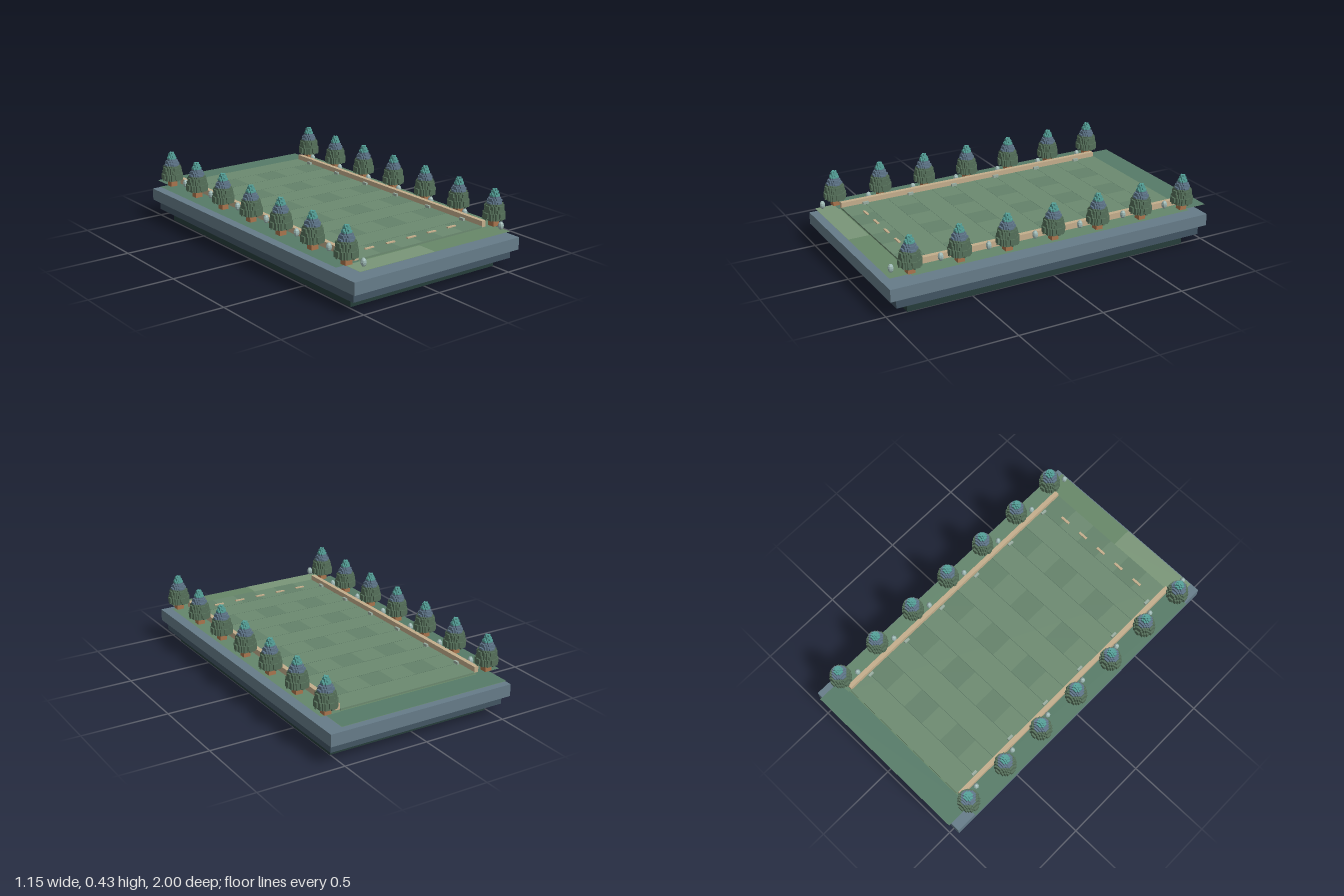
import * as THREE from 'three';
import { mergeGeometries } from 'three/addons/utils/BufferGeometryUtils.js';

const mat = (color, extra = {}) => new THREE.MeshStandardMaterial({ color, ...extra });

const CX = 0.005;        // the scene is mirrored about this x
const FIELD_Y = 0.236;   // top of the playing field
const STEP = 0.283;      // spacing between trees

// box given by its min and max corners
function boxGeo(x0, x1, y0, y1, z0, z1) {
  return new THREE.BoxGeometry(x1 - x0, y1 - y0, z1 - z0)
    .translate((x0 + x1) / 2, (y0 + y1) / 2, (z0 + z1) / 2);
}

// horizontal sheet facing up
function sheetGeo(x0, x1, z0, z1, y) {
  return new THREE.PlaneGeometry(x1 - x0, z1 - z0).rotateX(-Math.PI / 2)
    .translate((x0 + x1) / 2, y, (z0 + z1) / 2);
}

function add(parent, name, geometry, material) {
  const mesh = new THREE.Mesh(geometry, material);
  mesh.name = name;
  parent.add(mesh);
  return mesh;
}

// outer faces of a stack of block layers; radii are in blocks
function blockFoliage(radii, from, to, size, y0) {
  const filled = (i, j, k) => j >= 0 && j < radii.length && Math.hypot(i, k) <= radii[j];
  const faces = [
    [1, 0, 0, 'y', 1], [-1, 0, 0, 'y', -1], [0, 0, 1, 'y', 0],
    [0, 0, -1, 'y', 2], [0, 1, 0, 'x', -1], [0, -1, 0, 'x', 1],
  ];
  const parts = [];
  for (let j = from; j < to; j++) {
    const n = Math.ceil(radii[j]);
    for (let i = -n; i <= n; i++) for (let k = -n; k <= n; k++) {
      if (!filled(i, j, k)) continue;
      for (const [dx, dy, dz, axis, turns] of faces) {
        if (filled(i + dx, j + dy, k + dz)) continue;
        const face = new THREE.PlaneGeometry(size, size);
        if (axis === 'y') face.rotateY(turns * Math.PI / 2);
        else face.rotateX(turns * Math.PI / 2);
        parts.push(face.translate(
          (i + dx / 2) * size, y0 + (j + 0.5 + dy / 2) * size, (k + dz / 2) * size));
      }
    }
  }
  return mergeGeometries(parts);
}

export function createModel() {
  const model = new THREE.Group();
  model.name = 'parkField';

  // stepped plinth
  add(model, 'plinthTop', boxGeo(-0.56, 0.57, 0.115, 0.185, -0.98, 1.0), mat(0x667c89));
  add(model, 'plinthMiddle', boxGeo(-0.535, 0.548, 0.06, 0.115, -0.94, 0.96), mat(0x425563));
  add(model, 'plinthBottom', boxGeo(-0.49, 0.502, 0, 0.06, -0.86, 0.88), mat(0x263d3a));

  // thin lawn sheets hovering above the plinth
  const sheet = (name, x0, x1, z0, z1, y, color) =>
    add(model, name, sheetGeo(x0, x1, z0, z1, y), mat(color, { side: THREE.DoubleSide }));
  sheet('lawn', -0.51, 0.52, -1.0, 0.98, 0.223, 0x678768);
  sheet('lawnBackPatch', -0.51, 0.52, -1.0, -0.85, 0.2245, 0x567b68);
  sheet('lawnFrontPatch', -0.51, -0.02, 0.86, 0.98, 0.2245, 0x7a9678);
  sheet('rightVerge', -0.575, -0.425, -0.86, 0.87, 0.228, 0x567b67);
  sheet('leftVerge', 0.435, 0.555, -0.86, 0.87, 0.228, 0x64866c);

  // playing field with a faint checker of squares
  add(model, 'field', boxGeo(-0.42, 0.43, 0.226, FIELD_Y, -0.845, 0.855), mat(0x6c8a70));
  const squares = [];
  const w = 0.85 / 6, d = 1.7 / 12;
  for (let row = 0; row < 12; row++) {
    for (let col = 0; col < 6; col++) {
      if ((row + col) % 2 || row % 2 === 0) continue;
      const x = -0.42 + col * w, z = -0.845 + row * d;
      squares.push(sheetGeo(x, x + w, z, z + d, FIELD_Y + 0.0006));
    }
  }
  add(model, 'fieldSquares', mergeGeometries(squares), mat(0x64826a));

  // row seams
  const seams = [];
  for (let row = 1; row < 12; row++) {
    const z = -0.845 + row * d;
    seams.push(sheetGeo(-0.42, 0.43, z - 0.001, z + 0.001, FIELD_Y + 0.001));
  }
  add(model, 'rowSeams', mergeGeometries(seams), mat(0x4c6656));

  // dashed line near the front
  const tan = mat(0xc4ae8c);
  for (let i = -2; i <= 2; i++) {
    const x = CX + i * 0.142;
    add(model, 'lineDash', boxGeo(x - 0.029, x + 0.029, FIELD_Y, 0.242, 0.758, 0.772), tan);
  }

  // shared tree and shrub geometry
  const block = 0.0098;
  const radii = [6, 6.3, 6.3, 6.2, 5.6, 5.4, 5.2, 5.1, 4.6, 4.2, 3.8, 3.3, 2.6, 2.3, 2, 1.5, 1];
  const layers = [
    ['lowerFoliage', blockFoliage(radii, 0, 9, block, 0.268), mat(0x55705a)],
    ['middleFoliage', blockFoliage(radii, 9, 13, block, 0.268), mat(0x5f768a)],
    ['topFoliage', blockFoliage(radii, 13, 17, block, 0.268), mat(0x55a29a)],
  ];
  const trunkGeo = boxGeo(-0.021, 0.021, 0.228, 0.27, -0.021, 0.021);
  const trunkMat = mat(0xa9744d);
  const shrubGeo = new THREE.SphereGeometry(0.016, 8, 6).scale(1, 1.5, 1);
  const shrubMat = mat(0x9db8b4, { flatShading: true });
  const markerGeo = new THREE.BoxGeometry(0.013, 0.015, 0.034);
  const markerMat = mat(0x9aaea2);

  for (const side of [-1, 1]) {
    const name = side > 0 ? 'left' : 'right';
    const row = new THREE.Group();
    row.name = name + 'Border';
    model.add(row);

    // long low kerb
    const kx = CX + side * 0.439;
    add(row, 'kerb', boxGeo(kx - 0.013, kx + 0.013, 0.23, 0.264, -0.84, 0.855), tan);

    for (let i = 0; i < 7; i++) {
      const z = 0.86 - i * STEP;
      const tree = new THREE.Group();
      tree.name = 'tree';
      tree.position.set(CX + side * 0.507, 0, z);
      add(tree, 'trunk', trunkGeo, trunkMat);
      for (const [part, geo, material] of layers) add(tree, part, geo, material);
      row.add(tree);

      // egg-shaped shrub in front of each tree
      add(row, 'shrub', shrubGeo, shrubMat).position.set(CX + side * 0.471, 0.257, z + 0.092);

      // small markers along the field edge
      if (i < 6) {
        add(row, 'edgeMarker', markerGeo, markerMat)
          .position.set(CX + side * 0.411, FIELD_Y + 0.007, 0.712 - i * 0.2825);
      }
    }
  }
  return model;
}
